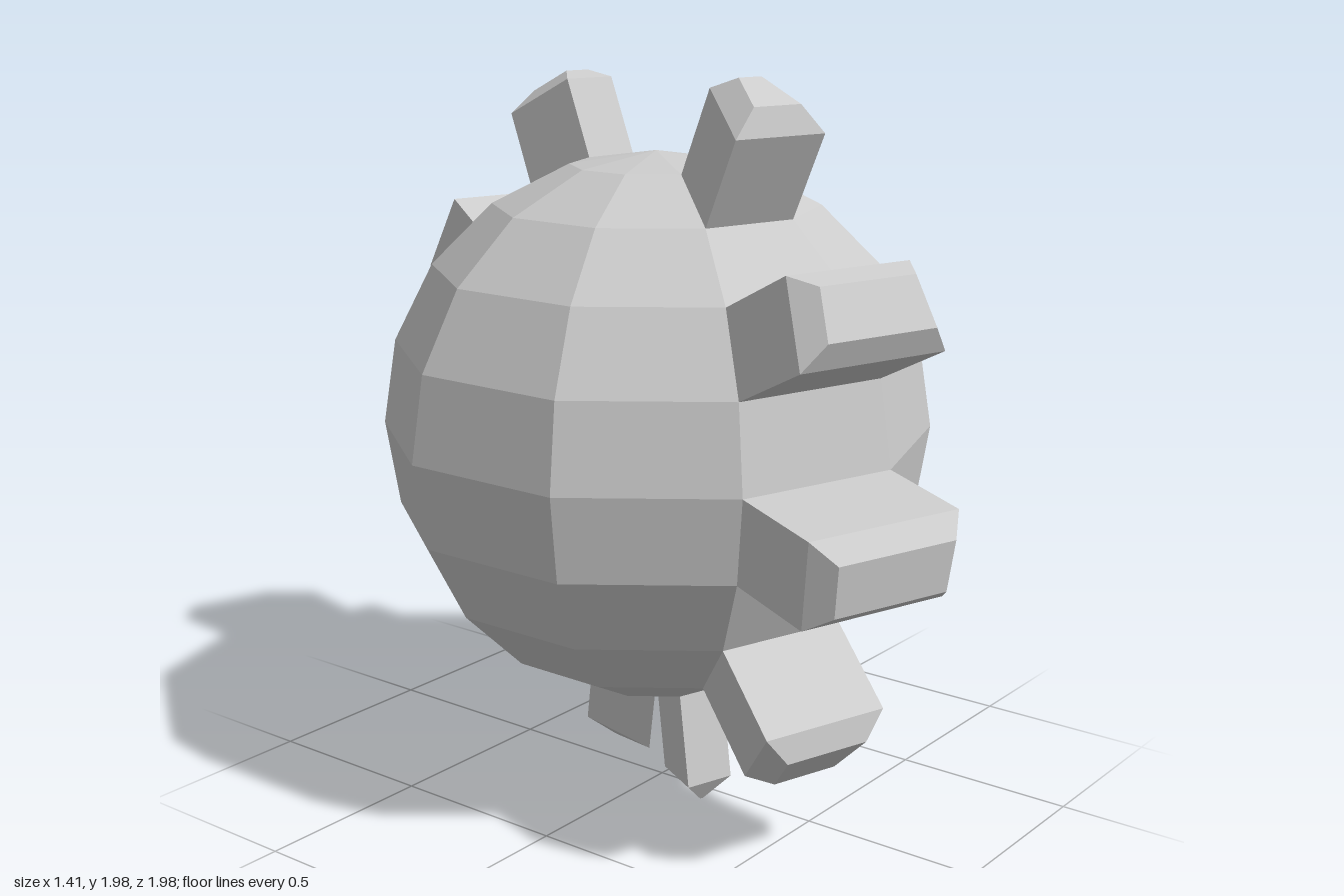
import * as THREE from 'three';

const R = 0.74, STEP = Math.PI / 10;
const INSET = 0.048;

const onSphere = (polar, azimuth) => new THREE.Vector3(
  R * Math.sin(polar) * Math.sin(azimuth),
  R * Math.cos(polar),
  R * Math.sin(polar) * Math.cos(azimuth));

// Moves every side of a polygon inwards by the same distance.
function insetLoop(loop, d) {
  const n = loop.length;
  return loop.map((p, i) => {
    const a = loop[(i + n - 1) % n].clone().sub(p).normalize();
    const b = loop[(i + 1) % n].clone().sub(p).normalize();
    const s = Math.sin(a.angleTo(b));
    return p.clone().addScaledVector(a.add(b), d / s);
  });
}

// Straight block raised from one face, with a chamfered end.
function studGeometry(base, wall, tip) {
  const n = base.length;
  const normal = base[1].clone().sub(base[0])
    .cross(base[2].clone().sub(base[0])).normalize();
  const raise = (loop, h) => loop.map((p) => p.clone().addScaledVector(normal, h));
  const loops = [base, raise(base, wall), raise(insetLoop(base, INSET), tip)];
  const pos = [];
  const tri = (...pts) => pts.forEach((p) => pos.push(p.x, p.y, p.z));
  for (let k = 0; k < 2; k++) {
    for (let i = 0; i < n; i++) {
      const j = (i + 1) % n;
      const [a, b, c, d] = [loops[k][i], loops[k][j], loops[k + 1][j], loops[k + 1][i]];
      tri(a, b, c);
      tri(a, c, d);
    }
  }
  for (let i = 1; i < n - 1; i++) tri(loops[2][0], loops[2][i], loops[2][i + 1]);
  const g = new THREE.BufferGeometry();
  g.setAttribute('position', new THREE.Float32BufferAttribute(pos, 3));
  g.computeVertexNormals();
  return g;
}

export function createModel() {
  const group = new THREE.Group();
  group.name = 'studdedBall';
  const material = new THREE.MeshStandardMaterial({ color: 0xcccccc, flatShading: true });

  // Faceted ball with corners on the z axis
  const ball = new THREE.Mesh(new THREE.SphereGeometry(R, 10, 10).rotateY(STEP), material);
  ball.name = 'ball';
  group.add(ball);

  // A column of studs on every second face, front and back
  const columns = [
    { name: 'frontStud', right: 0, wall: 0.255, tip: 0.312 },
    { name: 'backStud', right: Math.PI, wall: 0.228, tip: 0.272 },
  ];
  for (const { name, right, wall, tip } of columns) {
    const left = right - 2 * STEP;
    for (let row = 1; row < 10; row += 2) {
      const top = row * STEP, bottom = top + STEP;
      const base = row === 9
        ? [onSphere(top, left), onSphere(Math.PI, 0), onSphere(top, right)]
        : [onSphere(top, left), onSphere(bottom, left), onSphere(bottom, right), onSphere(top, right)];
      const stud = new THREE.Mesh(studGeometry(base, wall, tip), material);
      stud.name = name + (row + 1) / 2;
      group.add(stud);
    }
  }

  group.position.set(0, 1.03, -0.02);
  const model = new THREE.Group();
  model.name = 'model';
  model.add(group);
  return model;
}
